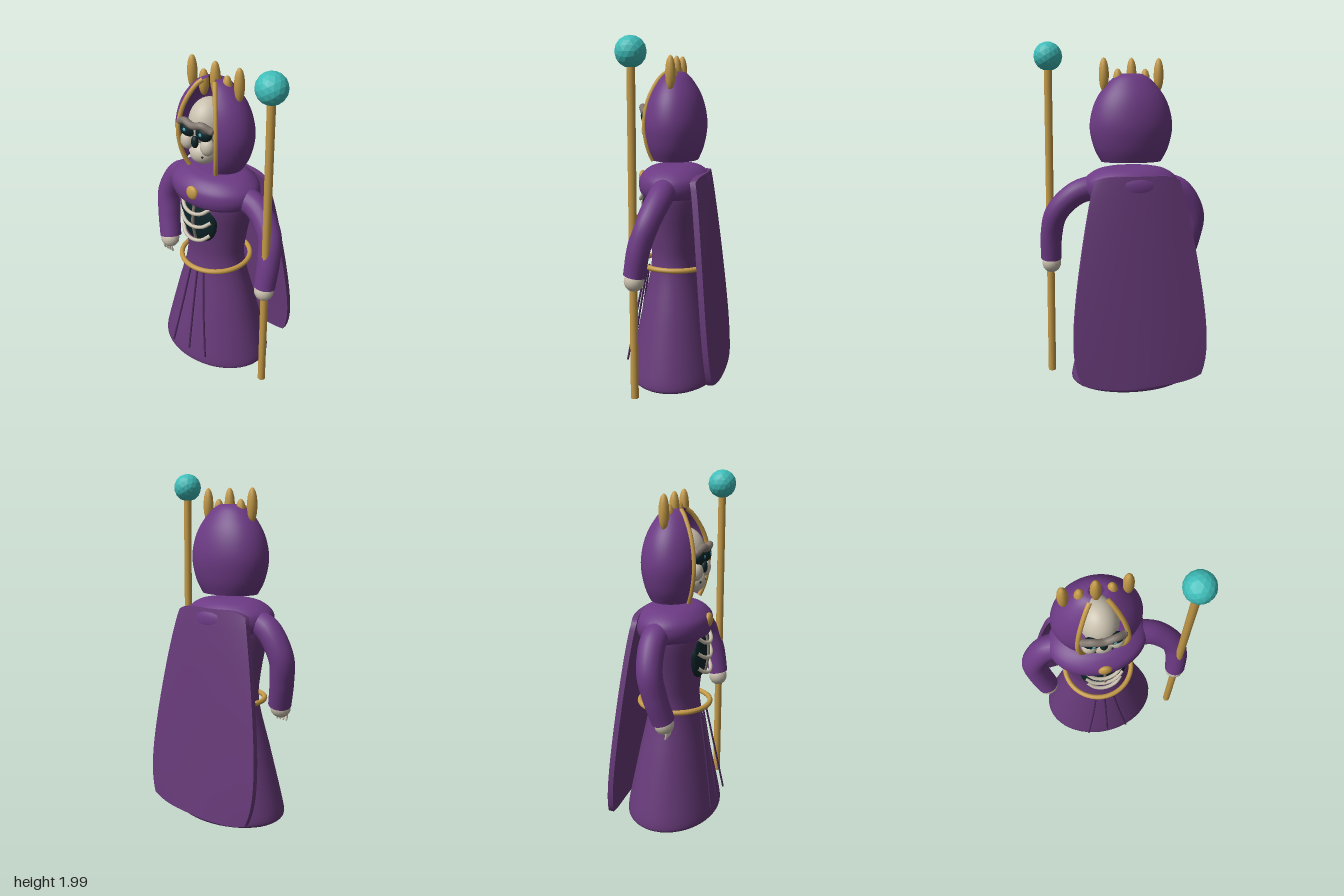
import * as THREE from 'three';
import { toCreasedNormals } from 'three/addons/utils/BufferGeometryUtils.js';

const mat = (name, color, extra = {}) => {
  const m = new THREE.MeshStandardMaterial({ color, ...extra });
  m.name = name;
  return m;
};
const V = (x, y, z) => new THREE.Vector3(x, y, z);

export function createModel() {
  const two = { side: THREE.DoubleSide };
  const velvet = mat('velvet purple', 0x6c3a84, two);
  const cloth = mat('robe purple', 0x673a79, two);
  const fold = mat('fold purple', 0x4c2a5c);
  const gold = mat('gold', 0xc49a48);
  const bone = mat('bone', 0xc9c0ae);
  const dark = mat('hollow dark', 0x0c2428);
  const grey = mat('brow grey', 0x82786f);
  const teal = mat('teal', 0x3fbdb9, { flatShading: true });
  const glint = mat('eye glint', 0x4fa3b5);

  const root = new THREE.Group();
  root.name = 'robedSkeleton';
  const figure = new THREE.Group(); // the body's own centre line
  figure.name = 'figure';
  figure.position.x = -0.04;
  root.add(figure);

  const add = (name, geo, material, parent = figure) => {
    const m = new THREE.Mesh(geo, material);
    m.name = name;
    parent.add(m);
    return m;
  };
  const ball = (name, material, p, r, parent = figure, seg = 16) => {
    const m = add(name, new THREE.SphereGeometry(1, seg, Math.ceil(seg * 0.7)), material, parent);
    m.position.set(...p);
    m.scale.set(...r);
    return m;
  };
  // Tube along points whose radius runs from r0 to r1
  const tube = (name, material, pts, r0, r1 = r0, parent = figure, seg = 24, sides = 8) => {
    const curve = new THREE.CatmullRomCurve3(pts.map(p => V(...p)));
    const g = new THREE.TubeGeometry(curve, seg, 1, sides);
    const pos = g.attributes.position, v = V(0, 0, 0);
    for (let i = 0; i < pos.count; i++) {
      const t = Math.floor(i / (sides + 1)) / seg;
      const c = curve.getPointAt(t);
      v.fromBufferAttribute(pos, i).sub(c).multiplyScalar(r0 + (r1 - r0) * t).add(c);
      pos.setXYZ(i, v.x, v.y, v.z);
    }
    return add(name, g, material, parent);
  };
  const DEPTH = 0.75; // robe and hood are oval in plan
  const lathe = (name, material, pts, start = 0, sweep = Math.PI * 2) => {
    const g = new THREE.LatheGeometry(pts.map(p => new THREE.Vector2(...p)), 48, start, sweep);
    const m = add(name, g, material);
    m.scale.z = DEPTH;
    m.position.z = 0.02;
    return m;
  };
  const smooth = (pts, n) => new THREE.SplineCurve(pts.map(p => new THREE.Vector2(...p)))
    .getPoints(n).map(p => [p.x, p.y]);

  // Robe, mantle and belt
  lathe('robe', cloth, [[0, 0.008], ...smooth([[0.32, 0.01], [0.35, 0.02], [0.36, 0.05], [0.335, 0.16],
    [0.265, 0.42], [0.19, 0.7], [0.2, 0.88], [0.243, 1.13], [0.2, 1.2]], 40), [0, 1.2]]);
  lathe('mantle', velvet, [[0, 1.125], ...smooth([[0.25, 1.122], [0.268, 1.14], [0.28, 1.185], [0.265, 1.235],
    [0.2, 1.28], [0.12, 1.298]], 20), [0, 1.3]]);
  const belt = add('belt', new THREE.TorusGeometry(0.206, 0.015, 10, 48), gold);
  belt.rotation.x = Math.PI / 2;
  belt.position.set(0, 0.707, 0.02);
  for (const s of [-1, 0, 1])
    tube('robeFold', fold, [[s * 0.05, 0.67, 0.195], [s * 0.085, 0.4, 0.243], [s * 0.13, 0.11, 0.29]], 0.006);

  // Cape: a slab flared towards the hem, bowed and round at the lower corners
  const capeGeo = new THREE.BoxGeometry(2, 1, 1, 20, 24, 2);
  const cp = capeGeo.attributes.position;
  for (let i = 0; i < cp.count; i++) {
    const u = cp.getX(i), v = cp.getY(i) + 0.5, w = cp.getZ(i);
    const half = 0.412 - 0.165 * v ** 1.6 - 0.06 * (1 - v) ** 8;
    const y = 0.065 + 1.19 * v + 0.035 * u ** 4 * (1 - v) ** 4 - 0.03 * u ** 6 * v ** 8;
    const z = -0.158 - 0.122 * (1 - v) ** 0.85 + 0.03 * u * u + w * 0.032;
    cp.setXYZ(i, u * half, y, z);
  }
  add('cape', toCreasedNormals(capeGeo, 0.9), cloth);

  // Hood: an oval shell with a gap at the face, edged with trim
  const GAP = 0.58;
  const hoodPts = smooth([[0.175, 1.325], [0.215, 1.4], [0.24, 1.51], [0.228, 1.61], [0.19, 1.7],
    [0.125, 1.78], [0.075, 1.815], [0.04, 1.822]], 28);
  lathe('hood', velvet, hoodPts, GAP, Math.PI * 2 - GAP * 2);
  for (const s of [-1, 1]) {
    const edge = hoodPts.filter((p, i) => i % 3 === 0 && p[0] > 0.06)
      .map(([r, y]) => [s * r * Math.sin(GAP), y, 0.022 + r * Math.cos(GAP) * DEPTH]);
    tube('hoodTrim', gold, edge, 0.013, 0.013, figure, 32);
  }

  // Crown spikes
  for (const [x, y, h] of [[-0.16, 1.815, 0.095], [-0.08, 1.775, 0.075], [0, 1.815, 0.095],
    [0.08, 1.775, 0.075], [0.16, 1.815, 0.095]])
    ball('crownSpike', gold, [x, y, 0.015], [0.029, h, 0.029], figure, 12);

  // Skull
  ball('cranium', bone, [0, 1.59, 0.07], [0.105, 0.135, 0.12], figure, 28);
  ball('jaw', bone, [0, 1.43, 0.125], [0.078, 0.065, 0.07], figure, 24);
  ball('noseHollow', dark, [0, 1.512, 0.188], [0.021, 0.035, 0.02]);
  for (const s of [-1, 1]) {
    ball('cheek', bone, [s * 0.07, 1.495, 0.168], [0.042, 0.05, 0.036]);
    ball('eyeSocket', dark, [s * 0.055, 1.572, 0.178], [0.052, 0.044, 0.032]);
    ball('eyeGlint', glint, [s * 0.055, 1.575, 0.207], [0.011, 0.011, 0.007], figure, 8);
    ball('mouthMark', dark, [s * 0.045, 1.432, 0.182], [0.007, 0.007, 0.006], figure, 8);
  }
  tube('brow', grey, [[-0.105, 1.6, 0.18], [-0.06, 1.625, 0.2], [0, 1.612, 0.205], [0.06, 1.625, 0.2],
    [0.105, 1.6, 0.18]], 0.02);
  for (const s of [-1, 1]) ball('browEnd', grey, [s * 0.105, 1.6, 0.18], [0.02, 0.02, 0.02], figure, 10);

  // Ribcage set into the chest, and the brooch above it
  ball('chestHollow', dark, [0, 1.025, 0.165], [0.13, 0.155, 0.05], figure, 14);
  tube('sternum', grey, [[0, 1.16, 0.2], [0, 1.03, 0.222], [0, 0.9, 0.2]], 0.009);
  for (const [y, w] of [[1.085, 0.1], [1.0, 0.108], [0.91, 0.1]])
    tube('rib', bone, [[-w, y + 0.045, 0.19], [-w * 0.6, y + 0.012, 0.217], [0, y, 0.228],
      [w * 0.6, y + 0.012, 0.217], [w, y + 0.045, 0.19]], 0.011);
  ball('brooch', gold, [0, 1.213, 0.22], [0.04, 0.042, 0.021]);

  // Sleeves and hands
  tube('rightSleeve', velvet, [[-0.22, 1.185, 0.01], [-0.33, 1.145, 0], [-0.415, 1.0, 0.01],
    [-0.405, 0.86, 0.035], [-0.37, 0.715, 0.068]], 0.075, 0.066, root, 32, 20);
  tube('leftSleeve', velvet, [[0.15, 1.185, 0.03], [0.28, 1.145, 0.04], [0.39, 1.03, 0.08],
    [0.418, 0.9, 0.12], [0.418, 0.745, 0.148]], 0.073, 0.061, root, 32, 20);
  ball('rightHand', bone, [-0.37, 0.695, 0.075], [0.06, 0.058, 0.055], root);
  ball('leftHand', bone, [0.416, 0.715, 0.15], [0.056, 0.058, 0.056], root);
  for (let i = 0; i < 4; i++) {
    const x = -0.4 + i * 0.021;
    tube('finger', bone, [[x, 0.68, 0.085], [x, 0.645, 0.098], [x + 0.003, 0.618, 0.092]], 0.009, 0.006, root, 8, 6);
  }

  // Staff and orb
  const shaft = add('staff', new THREE.CylinderGeometry(0.023, 0.023, 1.83, 10), gold, root);
  shaft.position.set(0.421, 0.955, 0.152);
  shaft.rotation.z = 0.004;
  const orb = add('staffOrb', new THREE.IcosahedronGeometry(0.082, 2), teal, root);
  orb.position.set(0.416, 1.919, 0.152);

  return root;
}
